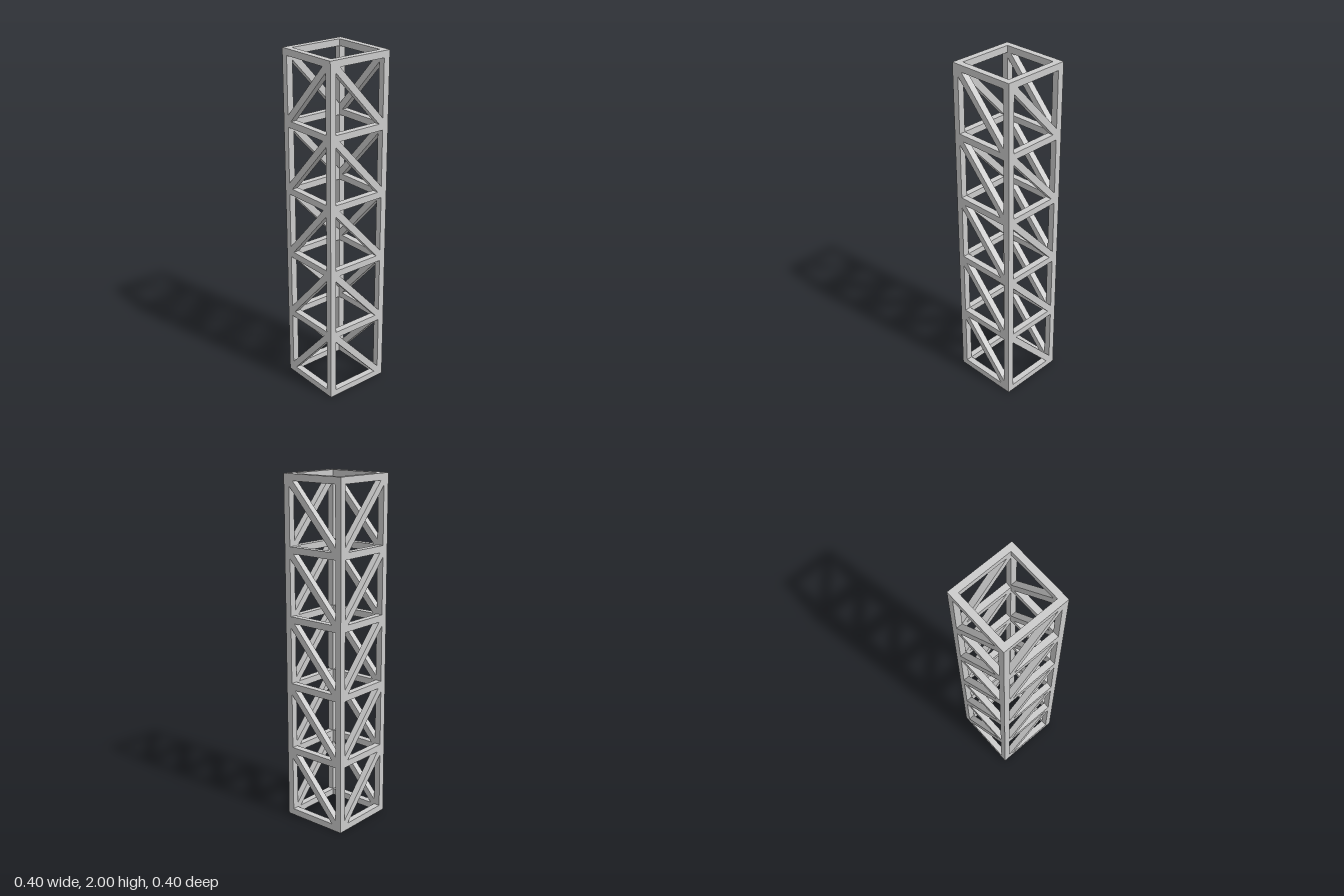
import * as THREE from 'three';

const WIDTH = 0.4, HEIGHT = 2, BEAM = 0.038, BAYS = 5;
const PITCH = (HEIGHT - BEAM) / BAYS;   // spacing of the rail rings
const OFFSET = (WIDTH - BEAM) / 2;      // centre line of the beams
const SPAN = WIDTH - 2 * BEAM;          // clear width of a bay
const RISE = PITCH - BEAM;              // clear height of a bay

// Diagonal brace cut to fit into two opposite corners of a bay
function braceGeometry() {
  const a = SPAN / 2, b = RISE / 2;
  const length = Math.hypot(SPAN, RISE);
  const dx = (BEAM / 2) * length / RISE;
  const dy = (BEAM / 2) * length / SPAN;
  const shape = new THREE.Shape([
    [-a, -b], [-a + dx, -b], [a, b - dy], [a, b], [a - dx, b], [-a, -b + dy],
  ].map(([x, y]) => new THREE.Vector2(x, y)));
  return new THREE.ExtrudeGeometry(shape, { depth: BEAM, bevelEnabled: false })
    .translate(0, 0, -BEAM / 2);
}

export function createModel() {
  const tower = new THREE.Group();
  tower.name = 'latticeTower';
  const material = new THREE.MeshStandardMaterial({ color: 0xcccccc });
  const postGeo = new THREE.BoxGeometry(BEAM, HEIGHT, BEAM);
  const railGeo = new THREE.BoxGeometry(SPAN, BEAM, BEAM);
  const braceGeo = braceGeometry();

  const add = (parent, name, geometry, x, y, z) => {
    const mesh = new THREE.Mesh(geometry, material);
    mesh.name = name;
    mesh.position.set(x, y, z);
    parent.add(mesh);
  };

  // Corner posts
  for (const x of [-OFFSET, OFFSET]) {
    for (const z of [-OFFSET, OFFSET]) add(tower, 'cornerPost', postGeo, x, HEIGHT / 2, z);
  }

  // Four faces, each with rails and one brace per bay;
  // opposite faces lean the same way
  const faces = [
    ['frontFace', 0, OFFSET, 0],
    ['backFace', 0, -OFFSET, 0],
    ['leftFace', OFFSET, 0, -Math.PI / 2],
    ['rightFace', -OFFSET, 0, -Math.PI / 2],
  ];
  for (const [name, x, z, turn] of faces) {
    const face = new THREE.Group();
    face.name = name;
    face.position.set(x, 0, z);
    face.rotation.y = turn;
    for (let i = 0; i <= BAYS; i++) {
      const y = BEAM / 2 + i * PITCH;
      add(face, 'rail', railGeo, 0, y, 0);
      if (i < BAYS) add(face, 'diagonalBrace', braceGeo, 0, y + PITCH / 2, 0);
    }
    tower.add(face);
  }
  return tower;
}
